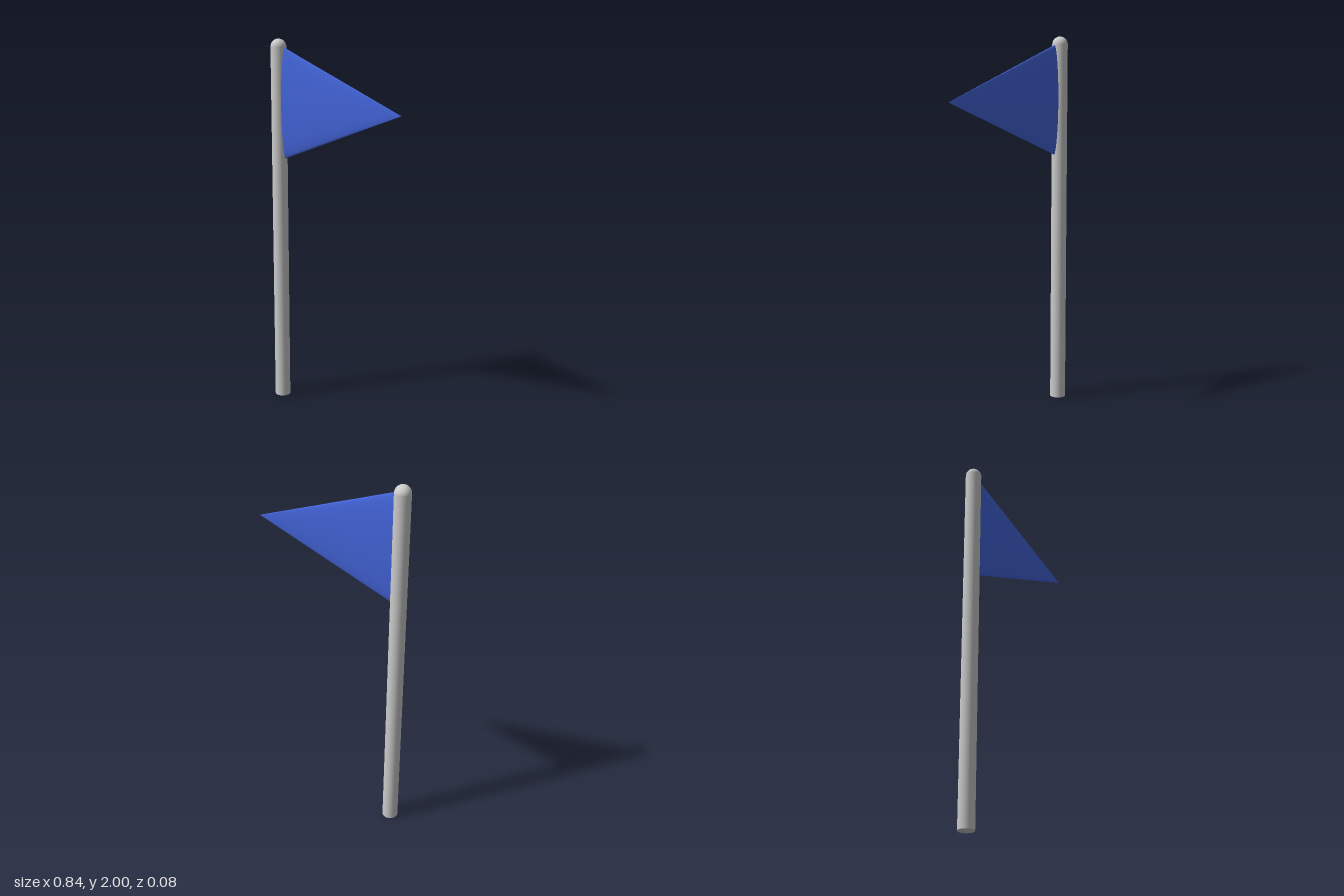
import * as THREE from 'three';

export function createModel() {
  const group = new THREE.Group();
  const grey = new THREE.MeshStandardMaterial({ color: 0xcccccc });
  const blue = new THREE.MeshStandardMaterial({ color: 0x4466dd });
  const poleX = -0.38, radius = 0.042, shaftTop = 2 - radius;

  const add = (name, geometry, material, x, y) => {
    const mesh = new THREE.Mesh(geometry, material);
    mesh.name = name;
    mesh.position.set(x, y, 0);
    group.add(mesh);
  };

  // Upright pole with a closed foot
  add('pole', new THREE.CylinderGeometry(radius, radius, shaftTop, 32), grey, poleX, shaftTop / 2);

  // Rounded top of the pole
  const dome = new THREE.SphereGeometry(radius, 32, 12, 0, Math.PI * 2, 0, Math.PI / 2);
  add('poleCap', dome, grey, poleX, shaftTop);

  // Pennant: a cone flattened in z, pointing to +x, its base inside the pole
  const tipX = 0.42, length = tipX - poleX;
  const pennant = new THREE.ConeGeometry(1, length, 48);
  pennant.rotateZ(-Math.PI / 2);
  pennant.scale(1, 0.311, 0.0245);
  add('pennant', pennant, blue, poleX + length / 2, 1.66);

  return group;
}
